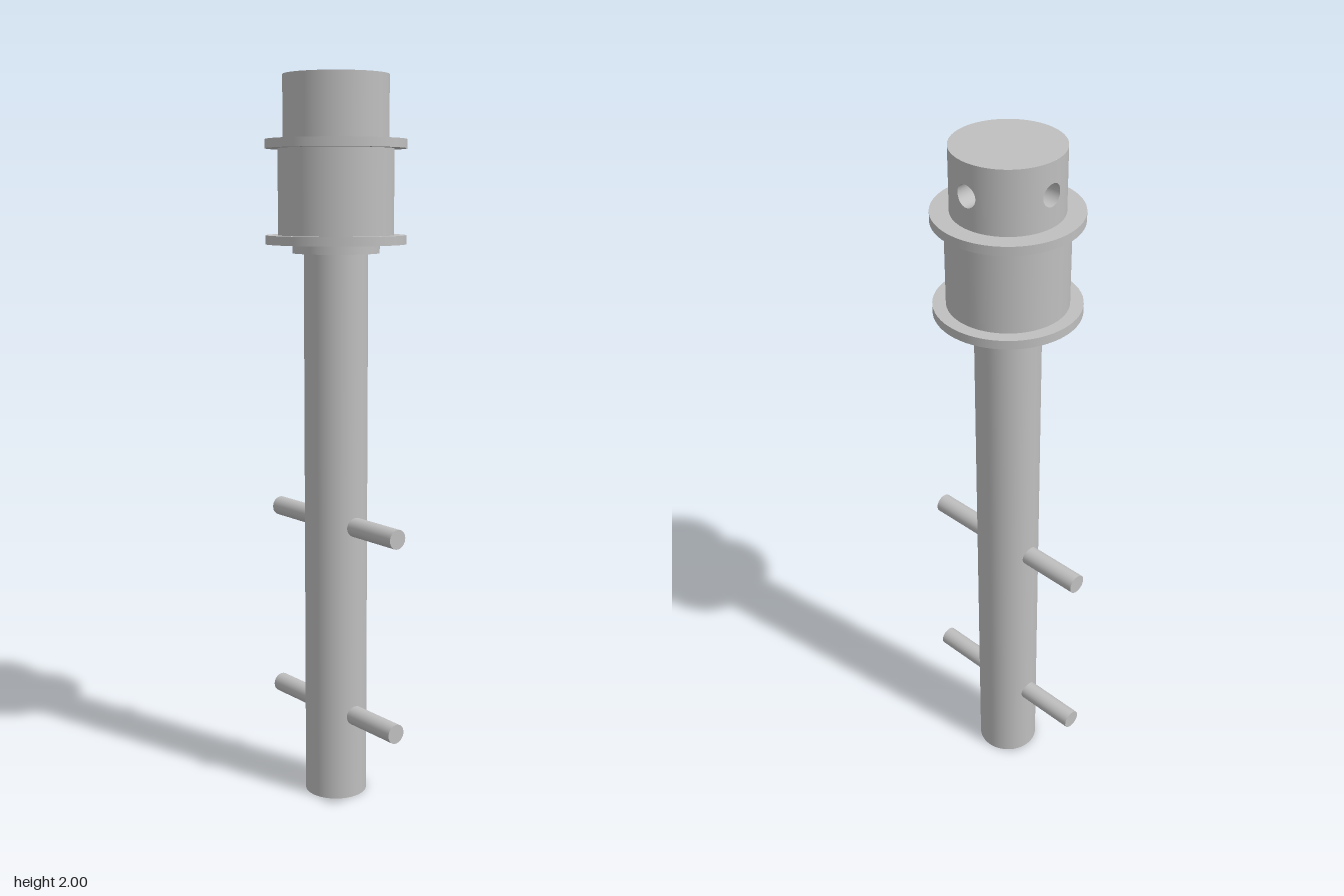
import * as THREE from 'three';

const SHAFT_R = 0.087, HEAD_R = 0.142, HEAD_Y0 = 1.833, HEAD_Y1 = 2;
const HOLE_R = 0.029, PATCH_W = 0.05;

export function createModel() {
  const model = new THREE.Group();
  model.name = 'pulleyShaft';
  const steel = new THREE.MeshStandardMaterial({ color: 0xbfbfbf });
  steel.name = 'steel grey';

  const add = (name, geometry, parent = model) => {
    const mesh = new THREE.Mesh(geometry, steel);
    mesh.name = name;
    parent.add(mesh);
    return mesh;
  };
  const disc = (name, r, y0, y1) => {
    add(name, new THREE.CylinderGeometry(r, r, y1 - y0, 64)).position.y = (y0 + y1) / 2;
  };

  // Shaft and pulley
  disc('shaft', SHAFT_R, 0, 1.99);
  disc('lowerHub', 0.118, 1.533, 1.557);
  disc('lowerFlange', 0.19, 1.557, 1.581);
  disc('pulleyBarrel', 0.156, 1.581, 1.809);
  disc('upperFlange', 0.19, 1.809, 1.833);

  // Cross pins on the front and back of the shaft
  for (const y of [0.242, 0.788]) {
    for (const side of [1, -1]) {
      const pin = add(side > 0 ? 'frontPin' : 'backPin', new THREE.CylinderGeometry(0.027, 0.027, 0.192, 32));
      pin.rotation.x = Math.PI / 2;
      pin.position.set(0, y, side * 0.166);
    }
  }

  // Head: plain wall sections between the two screw holes, and the top
  const head = new THREE.Group();
  head.name = 'head';
  model.add(head);
  const height = HEAD_Y1 - HEAD_Y0, midY = (HEAD_Y0 + HEAD_Y1) / 2;
  const a = Math.asin(PATCH_W / HEAD_R);
  for (const [from, to] of [[Math.PI / 2 + a, Math.PI - a], [Math.PI + a, 2.5 * Math.PI - a]]) {
    const wall = new THREE.CylinderGeometry(HEAD_R, HEAD_R, height, 64, 1, true, from, to - from);
    add('headWall', wall, head).position.y = midY;
  }
  const top = add('headTop', new THREE.CircleGeometry(HEAD_R, 96), head);
  top.rotation.x = -Math.PI / 2;
  top.position.y = HEAD_Y1;

  // Screw holes facing left (+x) and back (-z)
  for (const turn of [0, Math.PI / 2]) {
    const hole = new THREE.Group();
    hole.name = 'screwHole';
    hole.rotation.y = turn;
    hole.position.y = midY;
    head.add(hole);
    add('holeSurround', surroundGeometry(height / 2), hole);
    add('holeBore', boreGeometry(), hole);
  }
  return model;
}

// Closed strip between rows; point(t, c, s) and normal(p, c, s) give each vertex
function ringStrip(rows, point, normal) {
  const N = 64, pos = [], nor = [], index = [];
  for (let j = 0; j <= rows; j++) {
    for (let i = 0; i <= N; i++) {
      const phi = (i / N) * Math.PI * 2, c = Math.cos(phi), s = Math.sin(phi);
      const p = point(j / rows, c, s);
      pos.push(...p);
      nor.push(...normal(p, c, s));
      if (j < rows && i < N) {
        const k = j * (N + 1) + i, m = k + N + 1;
        index.push(k, k + 1, m, k + 1, m + 1, m);
      }
    }
  }
  const g = new THREE.BufferGeometry();
  g.setAttribute('position', new THREE.Float32BufferAttribute(pos, 3));
  g.setAttribute('normal', new THREE.Float32BufferAttribute(nor, 3));
  g.setIndex(index);
  return g;
}

// Point on an upright cylinder of radius r, on its +x side
const onCylinder = (r, y, z) => [Math.sqrt(r * r - z * z), y, z];

// Curved wall panel, from a rectangular rim in to the round hole
function surroundGeometry(halfHeight) {
  return ringStrip(6, (t, c, s) => {
    const q = Math.max(Math.abs(c), Math.abs(s));
    const z = THREE.MathUtils.lerp((c / q) * PATCH_W, c * HOLE_R, t);
    const y = THREE.MathUtils.lerp((s / q) * halfHeight, s * HOLE_R, t);
    return onCylinder(HEAD_R, y, -z);
  }, (p) => [p[0] / HEAD_R, 0, p[2] / HEAD_R]);
}

// Inside of the hole, running in to the shaft
function boreGeometry() {
  return ringStrip(1, (t, c, s) => onCylinder(THREE.MathUtils.lerp(HEAD_R, SHAFT_R - 0.002, t), s * HOLE_R, -c * HOLE_R),
    (p, c, s) => [0, -s, c]);
}
